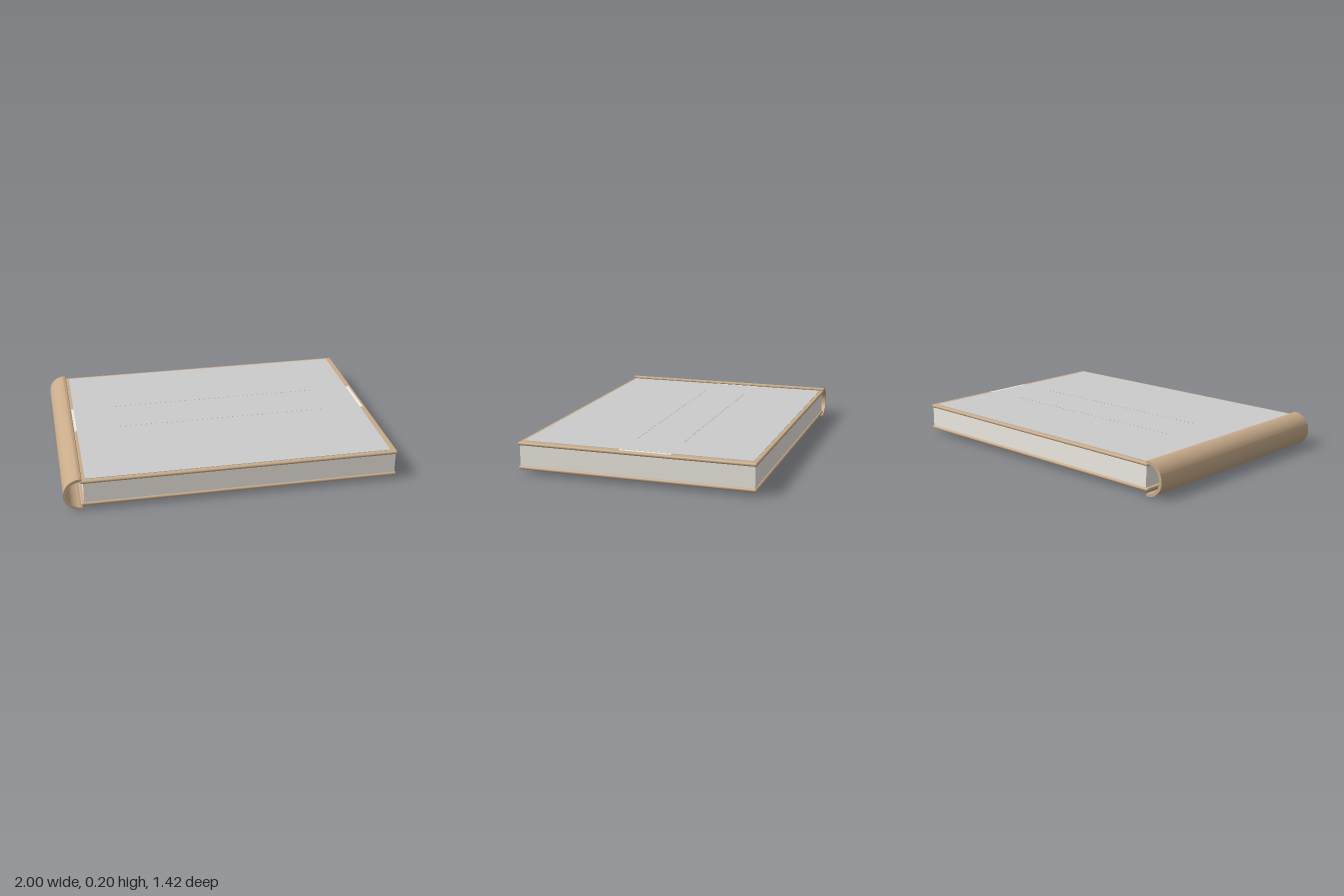
import * as THREE from 'three';
import { RoundedBoxGeometry } from 'three/addons/geometries/RoundedBoxGeometry.js';
import { toCreasedNormals } from 'three/addons/utils/BufferGeometryUtils.js';

const paint = (color) => new THREE.MeshStandardMaterial({ color });

export function createModel() {
  const book = new THREE.Group();
  book.name = 'book';
  const leather = paint(0xc8ab8a);
  const paper = paint(0xf0ece4);
  const grey = paint(0xcccccc);

  const add = (name, geometry, material, x, y, z, parent = book) => {
    const mesh = new THREE.Mesh(geometry, material);
    mesh.name = name;
    mesh.position.set(x, y, z);
    parent.add(mesh);
    return mesh;
  };

  // Covers: thin boards with rounded edges
  const board = new RoundedBoxGeometry(1.9, 0.02, 1.42, 3, 0.0095);
  add('backCover', board, leather, 0.05, 0.036, 0);
  add('frontCover', board, leather, 0.05, 0.18, 0);

  // Page block
  add('pages', new THREE.BoxGeometry(1.872, 0.13, 1.4), paper, 0.054, 0.108, 0);

  // Spine: half tube with rounded lips, open towards the pages
  const outer = 0.102, inner = 0.084, mid = (outer + inner) / 2, lip = (outer - inner) / 2;
  const section = new THREE.Shape();
  section.absarc(0, 0, outer, Math.PI / 2, Math.PI * 1.5, false);
  section.absarc(0, -mid, lip, -Math.PI / 2, Math.PI / 2, false);
  section.absarc(0, 0, inner, Math.PI * 1.5, Math.PI / 2, true);
  section.absarc(0, mid, lip, -Math.PI / 2, Math.PI / 2, false);
  const spine = new THREE.ExtrudeGeometry(section, { depth: 1.42, bevelEnabled: false, curveSegments: 24 });
  spine.translate(0, 0, -0.71);
  add('spine', toCreasedNormals(spine, 0.7), leather, -0.898, 0.103, 0);

  // Pale band across the cover, showing at both ends of the panel
  add('coverBand', new THREE.BoxGeometry(1.866, 0.004, 0.31), paper, 0.048, 0.1892, -0.063);

  // Panel laid on the front cover
  add('coverPanel', new THREE.BoxGeometry(1.83, 0.004, 1.37), grey, 0.045, 0.1905, 0);

  // Two rows of small studs
  const stud = new THREE.SphereGeometry(0.007, 10, 6);
  for (const [name, z] of [['rearStuds', -0.205], ['frontStuds', 0.08]]) {
    const row = new THREE.Group();
    row.name = name;
    book.add(row);
    for (let i = 0; i <= 40; i++) add('stud', stud, grey, -0.6 + i * 0.0325, 0.191, z, row);
  }
  return book;
}
